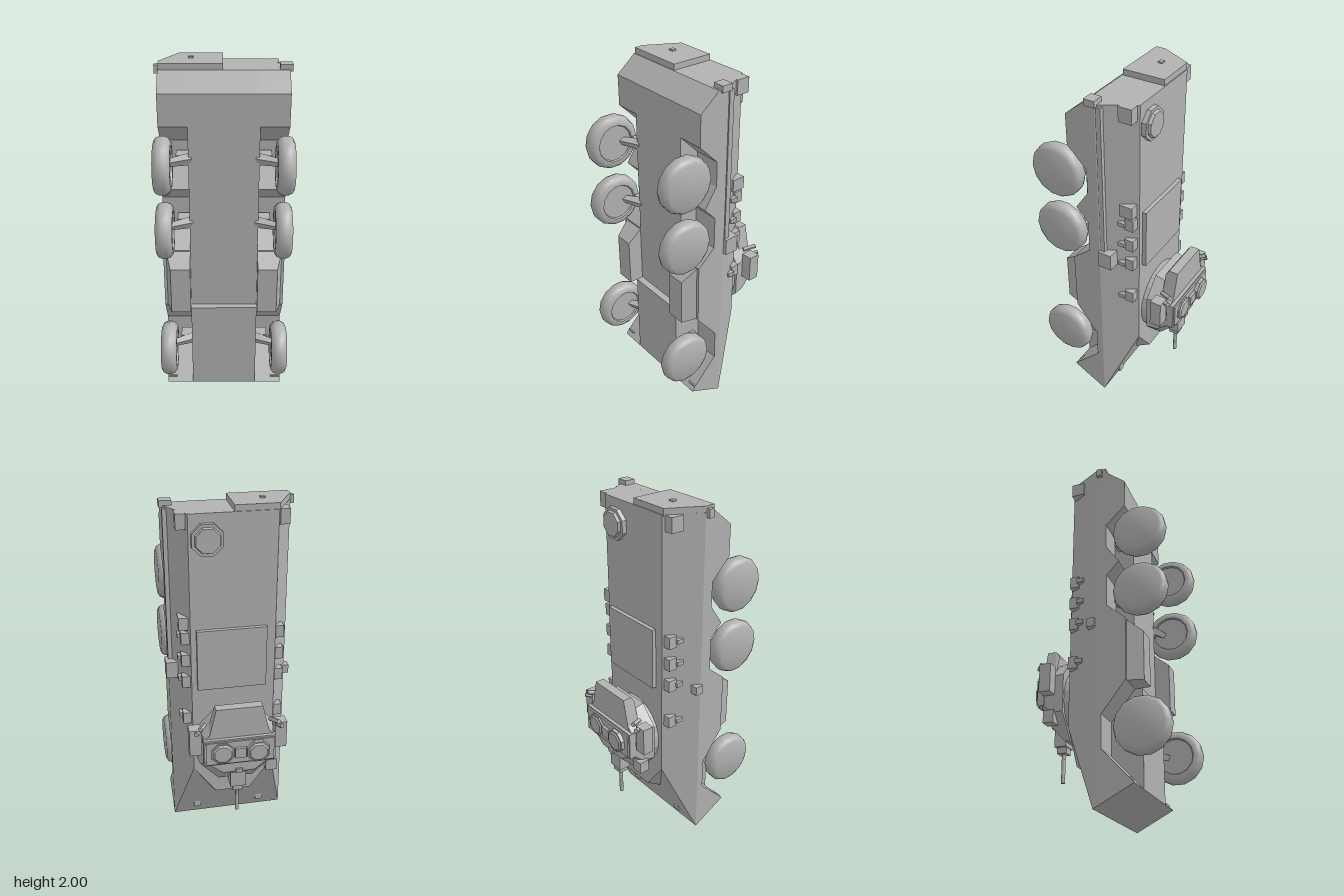
import * as THREE from 'three';
import { toCreasedNormals } from 'three/addons/utils/BufferGeometryUtils.js';
import { ConvexGeometry } from 'three/addons/geometries/ConvexGeometry.js';

export function createModel() {
  const model = new THREE.Group();
  const grey = new THREE.MeshStandardMaterial({ color: 0xb2b2b2 });
  grey.name = 'plain grey';

  const add = (name, geometry) => {
    const mesh = new THREE.Mesh(geometry, grey);
    mesh.name = name;
    model.add(mesh);
    return mesh;
  };
  // Box given by its limits on each axis
  const box = (name, x0, x1, y0, y1, z0, z1) => {
    const g = new THREE.BoxGeometry(x1 - x0, y1 - y0, z1 - z0);
    return add(name, g.translate((x0 + x1) / 2, (y0 + y1) / 2, (z0 + z1) / 2));
  };
  // Side profile of [z, y] points, extruded from x0 to x1
  const slab = (name, profile, x0, x1) => {
    const shape = new THREE.Shape(profile.map(([z, y]) => new THREE.Vector2(z, y)));
    const g = new THREE.ExtrudeGeometry(shape, { depth: x1 - x0, bevelEnabled: false });
    return add(name, g.rotateY(-Math.PI / 2).translate(x1, 0, 0));
  };
  // Convex block, symmetrical in x, from [x, y, z] corners
  const block = (name, corners) => add(name, new ConvexGeometry(
    corners.flatMap(([x, y, z]) => [new THREE.Vector3(x, y, z), new THREE.Vector3(-x, y, z)])));
  // Faceted disc lying on the deck, its axis along z
  const disc = (name, x, y, z0, z1, rOuter, rBase, sides) => {
    const g = new THREE.CylinderGeometry(rOuter, rBase, z0 - z1, sides);
    g.rotateY(Math.PI / sides).rotateX(-Math.PI / 2).translate(x, y, (z0 + z1) / 2);
    return add(name, toCreasedNormals(g, 0.3));
  };

  // Upper hull with sloping sides and nose plate
  block('upperHull', [
    [0.335, 0, 0.01], [0.335, 1.96, 0.01], [0.23, 1.96, -0.175], [0.23, 0.46, -0.175],
  ]);
  block('driverHood', [
    [0.23, 0.46, -0.175], [0.1, 0.28, -0.175], [0.1, 0.2, -0.055], [0.1, 0.46, -0.1],
  ]);

  // Lower hull: central belly and side walls with wheel arches
  slab('belly', [
    [0.01, 0], [0.22, 0.11], [0.22, 0.64], [0.18, 0.64], [0.18, 1.87], [0.07, 1.96], [0.01, 1.96],
  ], -0.185, 0.185);
  const wall = [
    [0.01, 0], [0.22, 0.11], [0.05, 0.29], [0.05, 0.47], [0.18, 0.64], [0.18, 0.99], [0.075, 1.08],
    [0.075, 1.265], [0.145, 1.34], [0.07, 1.45], [0.07, 1.59], [0.18, 1.7], [0.18, 1.87],
    [0.07, 1.96], [0.01, 1.96],
  ];
  slab('sideWallLeft', wall, 0.185, 0.335);
  slab('sideWallRight', wall, -0.335, -0.185);

  // Wheel, turned around x
  const tyre = [
    [0, -0.035], [0.1, -0.035], [0.105, -0.044], [0.125, -0.044], [0.145, -0.03],
    [0.152, -0.012], [0.152, 0.015], [0.143, 0.034], [0.125, 0.044], [0, 0.044],
  ].map(([r, h]) => new THREE.Vector2(r, h));

  for (const s of [1, -1]) {
    const span = (name, x0, x1, ...rest) =>
      box(name, Math.min(s * x0, s * x1), Math.max(s * x0, s * x1), ...rest);

    // Chamfered side box between the wheels
    const sponson = [
      [0.185, 0.64, 0.17], [0.185, 0.64, 0.265], [0.293, 0.64, 0.265], [0.322, 0.64, 0.17],
      [0.185, 0.915, 0.265], [0.293, 0.915, 0.265], [0.185, 0.99, 0.17], [0.322, 0.99, 0.17],
    ].map(([x, y, z]) => new THREE.Vector3(s * x, y, z));
    add('sideBox', new ConvexGeometry(sponson));

    for (const y of [0.395, 1.155, 1.52]) {
      const g = new THREE.LatheGeometry(tyre, 14).rotateZ(-Math.PI / 2);
      const wheel = add('wheel', toCreasedNormals(g, 0.9));
      wheel.position.set(s * 0.311, y, 0.26);
      if (s < 0) wheel.rotation.y = Math.PI;

      // Suspension arm
      const arm = new THREE.CylinderGeometry(0.02, 0.032, 0.13, 4).rotateY(Math.PI / 4);
      const axle = add('axle', toCreasedNormals(arm, 0.3));
      axle.position.set(s * 0.235, y, 0.19);
      axle.quaternion.setFromUnitVectors(
        new THREE.Vector3(0, 1, 0), new THREE.Vector3(s * 0.9, 0, 0.44).normalize());
      span('armMount', 0.17, 0.25, y - 0.022, y + 0.022, 0.09, 0.17);
    }

    // Lamps and lifting fittings along the side
    for (const y of [0.8, 1.03, 1.16, 1.29]) {
      span('sideLamp', 0.235, 0.28, y - 0.034, y + 0.034, -0.165, -0.115);
      span('lampStub', 0.26, 0.295, y - 0.012, y + 0.012, -0.12, -0.08);
    }
    span('rearLamp', 0.24, 0.29, 1.88, 1.96, -0.165, -0.09);
    span('noseLamp', 0.175, 0.215, 0.06, 0.1, -0.03, 0);
    span('towHook', 0.28, 0.335, 0.1, 0.14, 0.12, 0.2);

    // Turret side box and grenade launchers
    span('turretSideBox', 0.205, 0.272, 0.66, 0.82, -0.335, -0.27);
    for (let i = 0; i < 2; i++) {
      const tube = new THREE.CylinderGeometry(0.013, 0.013, 0.075, 8);
      const launcher = add('grenadeLauncher', toCreasedNormals(tube, 0.9));
      launcher.position.set(s * (0.2 + 0.022 * i), 0.835 - 0.03 * i, -0.328);
      launcher.quaternion.setFromUnitVectors(
        new THREE.Vector3(0, 1, 0), new THREE.Vector3(s * 0.42, 0.2, -0.88).normalize());
    }
  }

  // Single fittings
  box('sideLocker', 0.24, 0.29, 1.34, 1.41, -0.165, -0.09);
  box('sideRail', 0.29, 0.338, 1.05, 1.95, -0.025, 0.003);
  box('railBox', 0.29, 0.355, 1.015, 1.11, -0.073, 0.007);
  box('mirrorBox', -0.352, -0.3, 0.96, 1.01, -0.035, 0.01);
  box('rearBracketLeft', 0.285, 0.35, 1.95, 1.985, 0, 0.06);
  box('rearBracketRight', -0.355, -0.32, 1.935, 1.98, 0.015, 0.045);

  // Rear door, its edge following the hull slope
  const door = new THREE.Shape([
    [-0.005, -0.17], [-0.005, 0.065], [-0.333, 0.065], [-0.333, 0.01], [-0.235, -0.17],
  ].map(([x, z]) => new THREE.Vector2(x, -z)));
  const doorPlate = new THREE.ExtrudeGeometry(door, { depth: 0.04, bevelEnabled: false });
  add('rearDoor', doorPlate.rotateX(-Math.PI / 2).translate(0, 1.952, 0));
  box('doorKnob', -0.183, -0.157, 1.98, 2, -0.07, -0.045);

  // Roof hatches
  box('roofHatch', -0.18, 0.2, 0.99, 1.34, -0.198, -0.17);
  disc('rearHatchRim', 0.135, 1.83, -0.17, -0.2, 0.088, 0.088, 8);
  disc('rearHatchLid', 0.135, 1.83, -0.2, -0.215, 0.066, 0.072, 8);

  // Turret
  disc('turretRing', 0, 0.645, -0.17, -0.22, 0.205, 0.205, 20);
  block('turretBody', [
    [0.1, 0.425, -0.217], [0.217, 0.56, -0.217], [0.217, 0.77, -0.217], [0.12, 0.875, -0.217],
    [0.1, 0.43, -0.25], [0.205, 0.56, -0.28], [0.205, 0.77, -0.28], [0.12, 0.86, -0.285],
    [0.09, 0.54, -0.355], [0.19, 0.62, -0.355], [0.19, 0.77, -0.355], [0.12, 0.84, -0.355],
  ]);
  block('turretBustle', [
    [0.168, 0.78, -0.285], [0.168, 0.78, -0.357], [0.128, 0.92, -0.285],
    [0.128, 0.95, -0.305], [0.128, 0.95, -0.357],
  ]);
  box('turretRoof', -0.2, 0.2, 0.61, 0.77, -0.375, -0.335);
  box('turretRoofPlate', -0.19, 0.19, 0.62, 0.76, -0.384, -0.37);
  for (const [x, z] of [[-0.098, -0.412], [0.098, -0.4]]) {
    disc('turretHatch', x, 0.69, -0.38, z + 0.008, 0.068, 0.068, 8);
    disc('turretHatchLid', x, 0.69, z + 0.008, z, 0.05, 0.06, 8);
  }
  box('hatchHinge', -0.03, 0.03, 0.66, 0.72, -0.4, -0.38);
  box('frontSight', -0.02, 0.02, 0.535, 0.56, -0.365, -0.325);
  box('opticBox', -0.225, -0.16, 0.5, 0.57, -0.325, -0.265);

  // Gun
  box('gunMantlet', -0.045, 0.045, 0.42, 0.56, -0.335, -0.265);
  box('gunCollar', -0.03, 0.03, 0.385, 0.43, -0.325, -0.27);
  const barrel = new THREE.CylinderGeometry(0.011, 0.011, 0.17, 10);
  add('gunBarrel', toCreasedNormals(barrel.translate(0, 0.31, -0.297), 0.9));

  return model;
}
